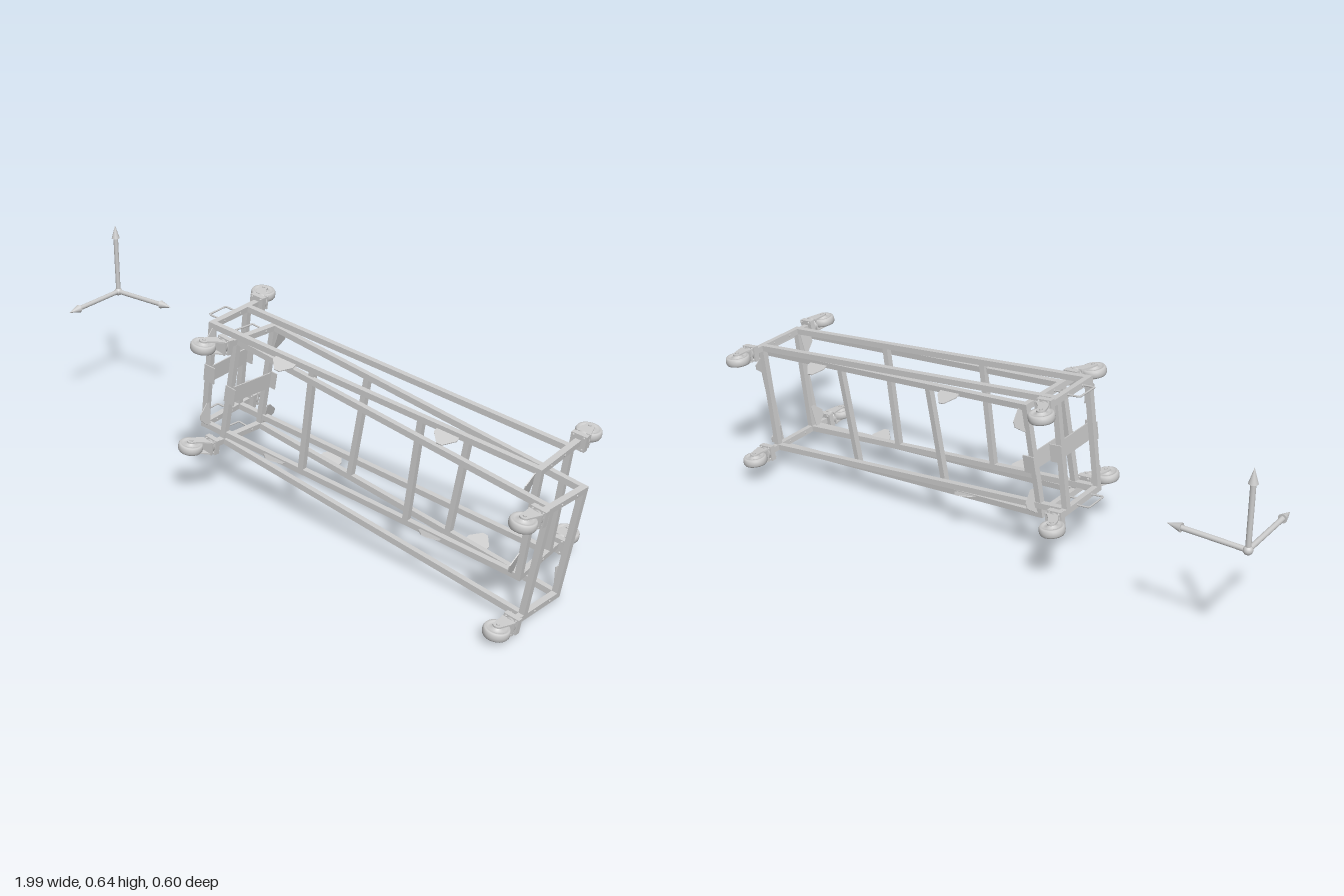
import * as THREE from 'three';

const mat = new THREE.MeshStandardMaterial({ color: 0xcccccc, side: THREE.DoubleSide });
const flat = new THREE.MeshStandardMaterial({ color: 0xcccccc, flatShading: true });

// half length, half height, half width of a frame (bar centre lines), bar thickness
const HX = 0.584, HY = 0.178, HZ = 0.085, T = 0.019;

function add(parent, name, geo, x = 0, y = 0, z = 0, material = flat) {
  const m = new THREE.Mesh(geo, material);
  m.name = name;
  m.position.set(x, y, z);
  parent.add(m);
  return m;
}

const box = (x, y, z) => new THREE.BoxGeometry(x, y, z);

// Caster: hangs towards -z, axle along y, wheel trailing along x
function makeCaster(trail) {
  const g = new THREE.Group();
  g.name = 'caster';
  add(g, 'mountPlate', box(0.05, 0.05, 0.018));
  for (const sx of [-1, 1]) for (const sy of [-1, 1]) {
    add(g, 'mountBolt', new THREE.CylinderGeometry(0.004, 0.004, 0.03, 6), sx * 0.017, sy * 0.019, 0)
      .rotation.x = Math.PI / 2;
  }
  add(g, 'swivel', new THREE.CylinderGeometry(0.021, 0.024, 0.012, 20), 0, 0, -0.014, mat)
    .rotation.x = Math.PI / 2;

  // fork: crown and two tapered, bowed cheeks
  add(g, 'forkCrown', box(0.046, 0.044, 0.006), 0, 0, -0.021);
  const s = new THREE.Shape();
  s.moveTo(-0.023, 0.018);
  s.lineTo(0.023, 0.018);
  s.quadraticCurveTo(trail + 0.022, 0.045, trail + 0.014, 0.066);
  s.absarc(trail, 0.066, 0.014, 0, Math.PI, false);
  s.quadraticCurveTo(trail - 0.012, 0.045, -0.023, 0.018);
  const cheek = new THREE.ExtrudeGeometry(s, { depth: 0.005, bevelEnabled: false, curveSegments: 8 });
  cheek.rotateX(-Math.PI / 2);
  for (const y of [-0.022, 0.017]) add(g, 'forkCheek', cheek, 0, y, 0);

  // wheel with rounded tread and recessed disc
  const p = [[0.006, -0.016], [0.013, -0.016], [0.015, -0.009], [0.027, -0.009], [0.029, -0.013],
    [0.036, -0.013], [0.039, -0.008], [0.04, 0], [0.039, 0.008], [0.036, 0.013], [0.029, 0.013],
    [0.027, 0.009], [0.015, 0.009], [0.013, 0.016], [0.006, 0.016]];
  add(g, 'wheel', new THREE.LatheGeometry(p.map(q => new THREE.Vector2(...q)), 28), trail, 0, -0.066, mat);
  add(g, 'axle', new THREE.CylinderGeometry(0.006, 0.006, 0.05, 8), trail, 0, -0.066);
  return g;
}

// Pointed guide plate, root on the x axis, pointing along +y of its own plane
function guidePlate(half, shoulder, tip) {
  const s = new THREE.Shape();
  [[-half, 0], [half, 0], [half, shoulder], [0.009, tip], [-0.009, tip], [-half, shoulder]]
    .forEach(([x, y], i) => (i ? s.lineTo(x, y) : s.moveTo(x, y)));
  return new THREE.ExtrudeGeometry(s, { depth: 0.003, bevelEnabled: false });
}

// One rolling rack lying on its side, casters towards -z
function makeRack(name) {
  const g = new THREE.Group();
  g.name = name;
  const endPlate = guidePlate(0.038, 0.012, 0.046), sidePlate = guidePlate(0.038, 0.02, 0.052);

  // wire handle path
  const pts = [[0, -0.04], [-0.042, -0.04], [-0.042, 0.04], [0, 0.04]]
    .map(([x, z]) => new THREE.Vector3(x, 0, z));
  const path = new THREE.CurvePath();
  for (let i = 0; i < 3; i++) path.add(new THREE.LineCurve3(pts[i], pts[i + 1]));
  const handle = new THREE.TubeGeometry(path, 30, 0.003, 6);

  for (const sy of [-1, 1]) {
    for (const sz of [-1, 1]) add(g, 'longRail', box(2 * HX, T, T), 0, sy * HY, sz * HZ);
    for (const sx of [-1, 1]) {
      // cross bar carrying the caster
      add(g, 'crossBar', box(T, T, 0.225), sx * HX, sy * HY, -0.018);
      const c = makeCaster(sx < 0 ? -0.03 : -0.005);
      c.position.set(sx * HX, sy * HY, -0.139);
      g.add(c);
      for (const z of [-0.038, 0.038]) {
        add(g, 'barBolt', new THREE.CylinderGeometry(0.0035, 0.0035, T + 0.006, 8), sx * HX, sy * HY, z)
          .rotation.z = Math.PI / 2;
      }
      // end guide, standing in the corner beside the post
      add(g, 'endGuide', endPlate, sx * (HX - 0.016), sy * (HY - 0.043), HZ)
        .rotation.set(Math.PI / 2, sx * 1.4, 0);
    }
    // side guides flaring out from the rails and in towards the middle
    for (const x of [-0.29, 0.29]) {
      add(g, 'sideGuide', sidePlate, x, sy * (HY - 0.002), HZ + 0.005)
        .rotation.x = Math.PI / 2 + sy * 0.38;
    }
    add(g, 'handle', handle, -HX - T / 2, sy * HY, 0, mat);
  }
  for (const sx of [-1, 1]) for (const sz of [-1, 1])
    add(g, 'endPost', box(T, 2 * HY, T), sx * HX, 0, sz * HZ);
  for (const x of [-HX / 3, HX / 3]) add(g, 'rung', box(T, 2 * HY, T), x, 0, HZ);

  // shallow channel across the end posts
  add(g, 'endPanel', box(0.004, 0.056, 2 * HZ), -HX + 0.012, 0.01, 0);
  for (const sz of [-1, 1]) add(g, 'panelFlange', box(0.042, 0.056, 0.004), -HX + 0.01, 0.01, sz * (HZ + 0.011));
  return g;
}

// Axis marker: ball and three arrows
function makeAxes() {
  const g = new THREE.Group();
  g.name = 'axisMarker';
  add(g, 'originBall', new THREE.SphereGeometry(0.014, 16, 12), 0, 0, 0, mat);
  for (const [rx, rz] of [[0, 0], [0, -Math.PI / 2], [Math.PI / 2, 0]]) {
    const a = new THREE.Group();
    a.name = 'arrow';
    add(a, 'arrowShaft', new THREE.CylinderGeometry(0.008, 0.008, 0.2, 16), 0, 0.1, 0, mat);
    add(a, 'arrowHead', new THREE.ConeGeometry(0.014, 0.047, 16), 0, 0.223, 0, mat);
    a.rotation.set(rx, 0, rz);
    g.add(a);
  }
  g.position.set(-0.986, 0.401, -0.288);
  return g;
}

export function createModel() {
  const root = new THREE.Group();
  root.name = 'rackPair';

  const a = makeRack('rearRack');
  a.position.set(0.289, 0.328, -0.04);
  a.rotation.z = -0.116;
  root.add(a);

  // second rack, turned half over so its casters face forward
  const b = makeRack('frontRack');
  const ex = new THREE.Vector3(1.148, -0.155, 0.094).normalize();
  const ez = ex.clone().cross(new THREE.Vector3(0.13, 1, -0.045)).normalize();
  const ey = ez.clone().cross(ex);
  b.quaternion.setFromRotationMatrix(new THREE.Matrix4().makeBasis(ex, ey.negate(), ez.negate()));
  b.position.set(0.374, 0.279, 0.003);
  root.add(b);

  root.add(makeAxes());
  return root;
}
